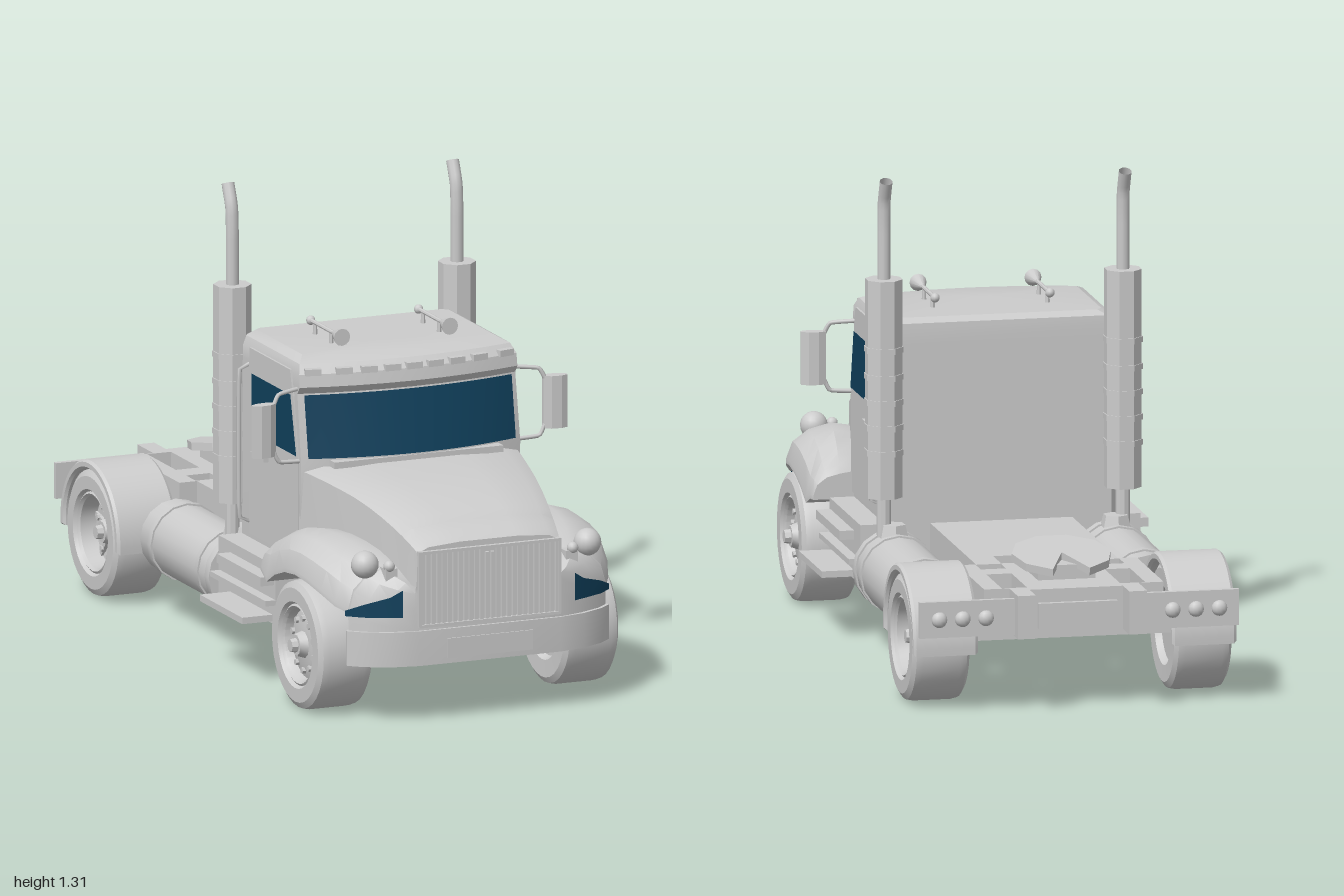
import * as THREE from 'three';
import { toCreasedNormals } from 'three/addons/utils/BufferGeometryUtils.js';

const V = (x, y, z) => new THREE.Vector3(x, y, z);
const grey = new THREE.MeshStandardMaterial({ color: 0xcccccc });
const glass = new THREE.MeshStandardMaterial({ color: 0x10405c, side: THREE.DoubleSide });

export function createModel() {
  const truck = new THREE.Group();
  truck.name = 'truck';

  function add(name, geo, x = 0, y = 0, z = 0, parent = truck, mat = grey) {
    const mesh = new THREE.Mesh(geo, mat);
    mesh.name = name;
    mesh.position.set(x, y, z);
    parent.add(mesh);
    return mesh;
  }
  // Box given by its two extreme corners
  const box = (name, x0, x1, y0, y1, z0, z1, parent) => add(name,
    new THREE.BoxGeometry(x1 - x0, y1 - y0, z1 - z0), (x0 + x1) / 2, (y0 + y1) / 2, (z0 + z1) / 2, parent);
  const cyl = (r0, r1, h, n, axis = 'y') => {
    const g = toCreasedNormals(new THREE.CylinderGeometry(r0, r1, h, n), 0.6);
    if (axis === 'x') g.rotateZ(-Math.PI / 2);
    if (axis === 'z') g.rotateX(Math.PI / 2);
    return g;
  };
  const tube = (pts, r, n = 8, seg = 14) =>
    new THREE.TubeGeometry(new THREE.CatmullRomCurve3(pts, false, 'catmullrom', 0.2), seg, r, n);
  // Capped skin through closed loops, anticlockwise seen from the last loop
  function loft(loops, crease = 0.5) {
    const p = [];
    const tri = (...vs) => vs.forEach(v => p.push(v.x, v.y, v.z));
    const n = loops[0].length, last = loops.length - 1;
    const mid = l => l.reduce((s, v) => s.add(v), V(0, 0, 0)).divideScalar(n);
    const c0 = mid(loops[0]), c1 = mid(loops[last]);
    for (let i = 0; i < n; i++) {
      const j = (i + 1) % n;
      for (let k = 0; k < last; k++) {
        const a = loops[k], b = loops[k + 1];
        tri(a[i], a[j], b[j]);
        tri(a[i], b[j], b[i]);
      }
      tri(c0, loops[0][j], loops[0][i]);
      tri(c1, loops[last][i], loops[last][j]);
    }
    const g = new THREE.BufferGeometry();
    g.setAttribute('position', new THREE.Float32BufferAttribute(p, 3));
    return toCreasedNormals(g, crease);
  }
  const extrude = (pts, depth, holes = []) => {
    const s = new THREE.Shape(pts.map(p => new THREE.Vector2(...p)));
    holes.forEach(([x0, x1, y0, y1]) => s.holes.push(new THREE.Path(
      [[x0, y0], [x0, y1], [x1, y1], [x1, y0]].map(p => new THREE.Vector2(...p)))));
    return new THREE.ExtrudeGeometry(s, { depth, bevelEnabled: false });
  };
  // Thin four-cornered patch divided along its length
  function patch(f, n) {
    const g = new THREE.PlaneGeometry(1, 1, n, 1), a = g.attributes.position;
    for (let i = 0; i < a.count; i++) a.setXYZ(i, ...f(a.getX(i) + 0.5, a.getY(i) + 0.5));
    g.computeVertexNormals();
    return g;
  }

  // Hood and fenders: z, crown height, fender height, half width, lower edge
  const arch = z => 0.375 - 1.6 * (z - 0.69) ** 2;
  const stations = [
    [0.43, 0.622, 0.40, 0.435, 0.33], [0.45, 0.62, 0.42, 0.44, 0.33], [0.49, 0.618, 0.445, 0.443, arch(0.49)],
    ...[[0.55, 0.613, 0.467, 0.445], [0.62, 0.606, 0.48, 0.446], [0.69, 0.597, 0.481, 0.445],
      [0.76, 0.583, 0.474, 0.439], [0.82, 0.567, 0.462, 0.425], [0.87, 0.551, 0.445, 0.405],
    ].map(([z, ...r]) => [z, ...r, arch(z)]),
    [0.908, 0.537, 0.427, 0.382, 0.31], [0.91, 0.537, 0.426, 0.38, 0.17], [0.94, 0.524, 0.41, 0.345, 0.17],
    [0.97, 0.511, 0.395, 0.282, 0.17], [0.988, 0.5, 0.385, 0.22, 0.17]];
  add('hood', loft(stations.map(([z, yt, yf, ox, yb]) => {
    const hx = 0.32 - (z - 0.44) * 0.2, ix = Math.min(hx + 0.006, ox - 0.006), w = ox - ix;
    const yo = Math.max(yb + 0.012, yf - 0.12);
    const half = [[ox, yb], [ox, yo], [ox - w * 0.1, yo + (yf - yo) * 0.5], [ox - w * 0.35, yf - (yf - yo) * 0.16],
      [ox - w * 0.7, yf], [ix, yf - 0.008], [hx, yt - 0.022], [hx * 0.85, yt - 0.007], [hx * 0.4, yt]];
    return [...half.map(([x, y]) => V(x, y, z)), ...half.reverse().map(([x, y]) => V(-x, y, z))];
  })));

  // Bumper and plate
  const rim = [[0.385, 0.9], [0.388, 0.915], [0.352, 0.947], [0.287, 0.98], [0.21, 0.996]];
  const bumperLoop = y => [...rim.map(([x, z]) => V(-x, y, z)), ...[...rim].reverse().map(([x, z]) => V(x, y, z))];
  add('bumper', loft([0.165, 0.262].map(bumperLoop)));
  box('plate', -0.127, 0.127, 0.18, 0.235, 0.99, 1.0);

  // Grille
  box('grilleBack', -0.2, 0.2, 0.28, 0.48, 0.98, 0.99);
  for (let i = 0; i < 26; i++) {
    const x = -0.2 + i * 0.016;
    box('grilleBar', x - 0.005, x + 0.005, 0.28, 0.478 - (Math.abs(x) < 0.02 ? 0.012 : 0), 0.985, 0.999);
  }
  for (const y of [0.275, 0.48]) box('grilleRail', -0.21, 0.21, y - 0.004, y + 0.004, 0.98, 1.0);
  for (const x of [-0.207, 0.207]) box('grilleSide', x - 0.004, x + 0.004, 0.275, 0.484, 0.98, 1.0);

  // Cab: y, half width, back z, front corner z, front centre z
  const levels = [[0.17, 0.32, 0.03, 0.42, 0.43], [0.35, 0.322, 0.03, 0.44, 0.46], [0.62, 0.325, 0.03, 0.455, 0.512],
    [0.81, 0.323, 0.03, 0.425, 0.468], [0.83, 0.323, 0.03, 0.44, 0.484], [0.865, 0.322, 0.03, 0.435, 0.478],
    [0.89, 0.312, 0.032, 0.415, 0.455], [0.905, 0.285, 0.045, 0.37, 0.41]];
  add('cab', loft(levels.map(([y, w, zb, ze, zc]) => {
    const l = [];
    for (let i = 0; i <= 8; i++) {
      const t = i / 4 - 1;
      l.push(V(t * w, y, zc + (ze - zc) * t * t));
    }
    return [...l, V(w, y, zb + 0.015), V(w - 0.015, y, zb), V(0.015 - w, y, zb), V(-w, y, zb + 0.015)];
  }), 0.45));
  add('windshield', patch((u, v) => {
    const x = (u - 0.5) * 0.615, k = (0.635 + v * 0.172 - 0.62) / 0.19, t = x / 0.325;
    const zc = 0.512 - 0.044 * k, ze = 0.455 - 0.03 * k;
    return [x, 0.635 + v * 0.172, zc + (ze - zc) * t * t + 0.006];
  }, 16), 0, 0, 0, truck, glass);
  box('wiperCowl', -0.25, 0.25, 0.612, 0.63, 0.46, 0.512);
  for (const x of [-0.285, -0.2, -0.13, -0.063, 0, 0.063, 0.13, 0.2, 0.285])
    add('markerLight', new THREE.BoxGeometry(0.045, 0.018, 0.02), x, 0.872, 0.476 - 0.4 * x * x).rotation.y = x * 0.8;

  // Chassis deck, open rear frame and coupling plate
  const flat = (name, pts, y0, y1, holes) => {
    const g = extrude(pts, y1 - y0, holes);
    g.rotateX(-Math.PI / 2);
    add(name, g, 0, y0, 0);
  };
  box('deck', -0.198, 0.198, 0.17, 0.335, -0.44, 0.04);
  const side = [[0.198, 0.44], [0.198, 0.55], [0.25, 0.55], [0.25, 0.89], [0.18, 0.89], [0.18, 1], [0.13, 1], [0.13, 0.92]];
  flat('rearFrame', [...side, ...[...side].reverse().map(([x, z]) => [-x, z])], 0.215, 0.335,
    [-1, 1].flatMap(s => [[0.042, 0.128, 0.45, 0.55], [0.13, 0.2, 0.555, 0.62], [0.13, 0.2, 0.69, 0.885]]
      .map(([a, b, c, d]) => [Math.min(s * a, s * b), Math.max(s * a, s * b), c, d])));
  const disc = [[0, 0]];
  for (let i = 0; i <= 9; i++) {
    const a = Math.PI / 2 + 0.38 + i * (Math.PI * 2 - 0.76) / 9;
    disc.push([Math.cos(a) * 0.138, Math.sin(a) * 0.138]);
  }
  const plate = add('couplingPlate', extrude(disc, 0.022), 0, 0.375, -0.73);
  plate.rotation.x = -Math.PI / 2 - 0.16;
  box('couplingBase', -0.08, 0.08, 0.33, 0.375, -0.8, -0.66);
  box('rearCrossBar', -0.11, 0.11, 0.23, 0.3, -0.945, -0.93);

  // Wheel with hub facing +x
  const nuts = 10;
  function wheel(name, s, z, rear) {
    const g = new THREE.Group();
    g.name = name;
    const r = rear ? 0.176 : 0.178;
    const prof = [[0.02, -0.06], [0.1, -0.06], [0.11, -0.078], [r - 0.02, -0.08], [r - 0.004, -0.07], [r, -0.052],
      [r, 0.052], [r - 0.004, 0.07], [r - 0.02, 0.08], [0.12, 0.08], [0.113, 0.07], [0.107, 0.074], [0.1, 0.066],
      [0.095, rear ? 0.02 : 0.045], [0.06, rear ? 0.015 : 0.055], [0.0, rear ? 0.015 : 0.055]];
    const lathe = new THREE.LatheGeometry(prof.map(p => new THREE.Vector2(...p)), 32);
    lathe.rotateZ(-Math.PI / 2);
    add('tyreAndRim', toCreasedNormals(lathe, 0.5), 0, 0, 0, g);
    const hx = rear ? 0.03 : 0.06;
    add('hub', cyl(0.03, 0.042, 0.035, 10, 'x'), hx, 0, 0, g);
    add('hubCap', cyl(0.018, 0.022, 0.03, 8, 'x'), hx + 0.02, 0, 0, g);
    for (let i = 0; i < nuts; i++) {
      const a = i * Math.PI * 2 / nuts, c = Math.cos(a), q = Math.sin(a);
      add('wheelNut', cyl(0.009, 0.009, 0.014, 6, 'x'), hx - 0.006, c * 0.073, q * 0.073, g);
      if (rear) add('spoke', new THREE.BoxGeometry(0.012, 0.06, 0.014), 0.02, c * 0.07, q * 0.07, g).rotation.x = a;
    }
    g.position.set(s * 0.365, 0.178, z);
    if (s < 0) g.rotation.y = Math.PI;
    truck.add(g);
  }

  // Parts found on both sides
  for (const s of [1, -1]) {
    const sbox = (name, x0, x1, ...r) => box(name, Math.min(s * x0, s * x1), Math.max(s * x0, s * x1), ...r);
    wheel('frontWheel', s, 0.69, false);
    wheel('rearWheel', s, -0.71, true);

    // Rear mudguard
    const guard = new THREE.Shape();
    guard.absarc(0, 0, 0.193, -0.08, Math.PI + 0.08, false);
    guard.absarc(0, 0, 0.18, Math.PI + 0.08, -0.08, true);
    const gg = new THREE.ExtrudeGeometry(guard, { depth: 0.164, curveSegments: 20, bevelSize: 0.006, bevelThickness: 0.008, bevelSegments: 1 });
    gg.rotateY(Math.PI / 2);
    add('rearMudguard', toCreasedNormals(gg, 0.5), s * 0.36 - 0.082, 0.18, -0.71);

    // Fuel tank, straps and steps
    add('fuelTank', cyl(0.104, 0.104, 0.48, 16, 'z'), s * 0.306, 0.215, -0.21);
    for (const [z, w] of [[0.015, 0.03], [-0.06, 0.02], [-0.38, 0.025]])
      add('tankStrap', cyl(0.109, 0.109, w, 16, 'z'), s * 0.306, 0.215, z);
    sbox('stepBody', 0.3, 0.39, 0.17, 0.335, 0.04, 0.43);
    sbox('upperStep', 0.38, 0.43, 0.28, 0.305, 0.12, 0.42);
    sbox('middleStep', 0.38, 0.42, 0.225, 0.24, 0.05, 0.43);
    sbox('lowerStep', 0.38, 0.48, 0.177, 0.195, 0.12, 0.41);

    // Exhaust stack
    const stack = cyl(0.052, 0.052, 0.605, 8);
    stack.rotateY(Math.PI / 8);
    add('exhaustStack', stack, s * 0.333, 0.722, 0.003);
    for (const y of [0.545, 0.615, 0.685, 0.755, 0.83]) {
      const band = cyl(0.055, 0.055, 0.016, 8);
      band.rotateY(Math.PI / 8);
      add('stackBand', band, s * 0.333, y, 0.003);
    }
    const px = s * 0.333;
    const pipe = tube([V(px, 1.0, 0.003), V(px, 1.17, 0.003), V(px, 1.24, -0.002), V(px, 1.3, -0.027)], 0.018, 10);
    add('exhaustPipe', pipe, 0, 0, 0, truck, new THREE.MeshStandardMaterial({ color: 0xcccccc, side: THREE.DoubleSide }));
    add('lowerPipe', cyl(0.02, 0.02, 0.15, 10), px, 0.36, 0.003);
    add('pipeElbow', cyl(0.035, 0.045, 0.04, 6), s * 0.31, 0.325, -0.01);

    // Door, side window and handles
    const door = extrude([[-0.11, 0.35], [-0.11, 0.87], [-0.385, 0.87], [-0.405, 0.8], [-0.44, 0.63], [-0.44, 0.35]], 0.006);
    door.rotateY(Math.PI / 2);
    add('door', door, s * 0.325 - 0.003, 0, 0);
    add('sideWindow', patch((u, v) => [s * 0.331, 0.638 + v * 0.164, 0.13 + u * (0.305 - v * 0.04)], 1), 0, 0, 0, truck, glass);
    sbox('doorHandle', 0.326, 0.343, 0.578, 0.59, 0.15, 0.24);
    add('grabRail', tube([V(s * 0.32, 0.82, 0.09), V(s * 0.35, 0.8, 0.09), V(s * 0.35, 0.4, 0.09), V(s * 0.32, 0.38, 0.09)], 0.006, 6));

    // Mirror and bracket
    const m = add('mirror', cyl(0.5, 0.5, 0.147, 8).rotateY(Math.PI / 8).scale(0.074, 1, 0.036), s * 0.432, 0.722, 0.445);
    m.rotation.y = s * -0.1;
    add('mirrorBracket', tube([V(s * 0.31, 0.825, 0.42), V(s * 0.385, 0.818, 0.44), V(s * 0.402, 0.79, 0.445)], 0.006, 6));
    add('mirrorBracket', tube([V(s * 0.31, 0.625, 0.44), V(s * 0.385, 0.63, 0.445), V(s * 0.402, 0.66, 0.445)], 0.006, 6));

    // Headlights and corner lamps
    add('headlight', new THREE.SphereGeometry(0.038, 18, 12), s * 0.33, 0.44, 0.902);
    add('smallLight', new THREE.SphereGeometry(0.016, 12, 8), s * 0.272, 0.437, 0.935);
    sbox('smallLightBase', 0.25, 0.285, 0.395, 0.43, 0.9, 0.942);
    const edge = [[0.255, 0.991], [0.287, 0.977], [0.352, 0.945], [0.392, 0.908]];
    add('cornerLamp', patch((u, v) => {
      const [x, z] = edge[Math.round(u * 3)];
      return [s * x, 0.303 + v * (0.077 - u * 0.062), z];
    }, 3), 0, 0, 0, truck, glass);

    // Roof horn
    add('hornPipe', cyl(0.006, 0.006, 0.2, 8, 'z'), s * 0.16, 0.937, 0.235);
    add('hornBell', cyl(0.024, 0.006, 0.06, 12, 'z'), s * 0.16, 0.937, 0.325);
    add('hornEnd', new THREE.SphereGeometry(0.013, 10, 8), s * 0.16, 0.937, 0.14);
    for (const z of [0.17, 0.28]) add('hornPost', cyl(0.005, 0.007, 0.045, 6), s * 0.16, 0.918, z);

    // Tail lamp panel
    sbox('tailPanel', 0.18, 0.445, 0.22, 0.32, -0.96, -0.945);
    for (const x of [0.26, 0.325, 0.39])
      add('tailLamp', new THREE.SphereGeometry(0.022, 12, 8).scale(1, 1, 0.8), s * x, 0.27, -0.96);
  }

  // Axles
  add('frontAxle', cyl(0.02, 0.02, 0.62, 8, 'x'), 0, 0.178, 0.69);
  box('rearAxle', -0.33, 0.33, 0.16, 0.2, -0.73, -0.69);
  return truck;
}
